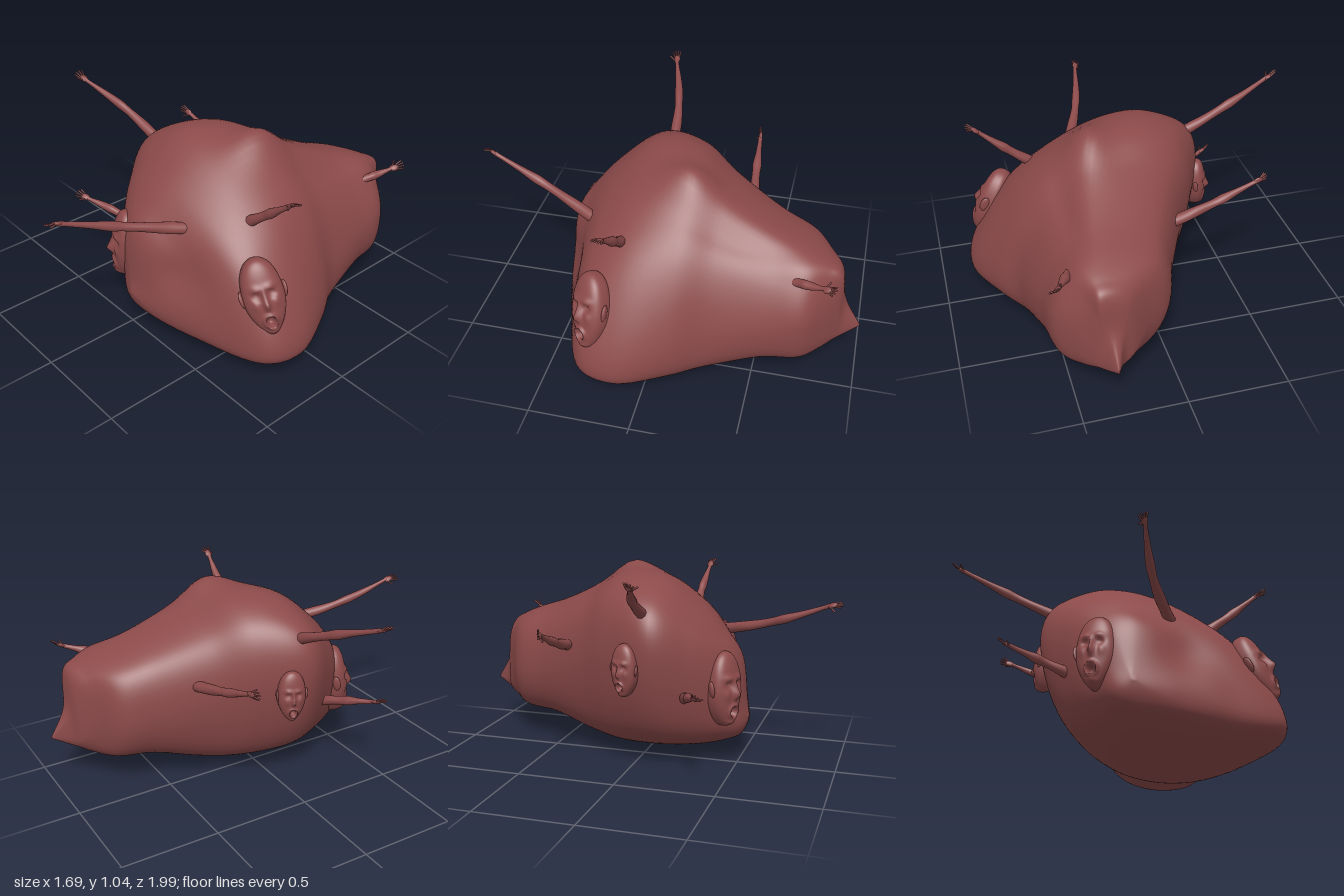
import * as THREE from 'three';
import { mergeVertices } from 'three/addons/utils/BufferGeometryUtils.js';

const flesh = new THREE.MeshStandardMaterial({ color: 0x8c4a4a });
const V = (x, y, z) => new THREE.Vector3(x, y, z);
const bump = (x, y, cx, cy, sx, sy) => Math.exp(-(((x - cx) / sx) ** 2) - ((y - cy) / sy) ** 2);

function addMesh(parent, geometry, name) {
  const mesh = new THREE.Mesh(geometry, flesh);
  mesh.name = name;
  parent.add(mesh);
  return mesh;
}

// Body sections from front to back: z, then x,y of the bottom, left, top and right extremes
const SECTIONS = [
  [0.50, 0.08, 0.13, 0.27, 0.27, 0.08, 0.55, -0.05, 0.33],
  [0.42, 0.12, 0.08, 0.53, 0.22, 0.08, 0.67, -0.15, 0.44],
  [0.30, 0.17, 0.04, 0.80, 0.21, 0.12, 0.80, -0.26, 0.52],
  [0.12, 0.20, 0.015, 0.84, 0.21, 0.15, 0.92, -0.37, 0.60],
  [-0.12, 0.22, 0.005, 0.75, 0.27, 0.22, 0.95, -0.28, 0.56],
  [-0.30, 0.25, 0.03, 0.66, 0.31, 0.28, 0.86, -0.17, 0.50],
  [-0.55, 0.27, 0.11, 0.60, 0.36, 0.34, 0.75, -0.05, 0.43],
  [-0.73, 0.30, 0.125, 0.57, 0.40, 0.38, 0.69, 0.02, 0.40],
  [-0.82, 0.31, 0.155, 0.49, 0.38, 0.38, 0.65, 0.14, 0.38],
  [-0.88, 0.32, 0.19, 0.42, 0.31, 0.38, 0.61, 0.22, 0.31],
  [-0.915, 0.33, 0.205, 0.38, 0.27, 0.34, 0.41, 0.28, 0.27],
];
// How full the corner after each extreme is: 0.71 is an ellipse, 1 a square
const FULLNESS = [0.83, 0.63, 0.8, 0.73];
const FRONT_POLE = V(0.06, 0.24, 0.54), BACK_TIP = V(0.33, 0.26, -1);

// Soft lumps and dents: centre, spread, shift
const LUMPS = [
  [V(0.27, 1, -0.13), V(0.09, 0.25, 0.16), V(0, 0.055, 0)],      // crown ridge
  [V(-0.06, 0.95, 0.08), V(0.14, 0.2, 0.18), V(0, 0.018, 0)],    // right crown lobe
  [V(0.42, 0.76, -0.4), V(0.06, 0.2, 0.28), V(0, -0.03, 0)],     // groove down the back
  [V(0.32, 0.42, 0.42), V(0.13, 0.13, 0.2), V(-0.01, 0, -0.035)], // dent in the front
  [V(0.05, 0.2, 0.5), V(0.25, 0.07, 0.12), V(0, 0, 0.012)],      // front lip
  [V(0.7, 0.3, -0.25), V(0.15, 0.2, 0.1), V(-0.015, 0, 0)],      // hollow of the flank
];

// Four extremes of a section with a corner point between each pair
function sectionPoints([z, ...xy]) {
  const points = [];
  for (let k = 0; k < 4; k++) {
    const n = (k + 1) % 4;
    const a = V(xy[2 * k], xy[2 * k + 1], z), b = V(xy[2 * n], xy[2 * n + 1], z);
    const corner = k % 2 ? V(a.x, b.y, z) : V(b.x, a.y, z);
    const inner = k % 2 ? V(b.x, a.y, z) : V(a.x, b.y, z);
    points.push(a, inner.lerp(corner, FULLNESS[k]));
  }
  return points;
}

function bodyGeometry(rows = 100, cols = 96) {
  // one lengthwise curve per section point, then a closed curve around each row
  const sections = SECTIONS.map(sectionPoints);
  const rails = sections[0].map((_, j) =>
    new THREE.CatmullRomCurve3([FRONT_POLE, ...sections.map((s) => s[j]), BACK_TIP]));
  const position = [], index = [];
  for (let i = 0; i <= rows; i++) {
    const pts = rails.map((r) => r.getPoint(i / rows));
    const ring = new THREE.CatmullRomCurve3(pts, true, 'catmullrom', 0.5);
    const pole = i === 0 ? FRONT_POLE : i === rows ? BACK_TIP : null;
    for (let j = 0; j < cols; j++) {
      const p = (pole || ring.getPoint(j / cols)).clone();
      for (const [centre, spread, shift] of LUMPS) {
        const d = p.clone().sub(centre).divide(spread);
        p.addScaledVector(shift, Math.exp(-d.lengthSq()));
      }
      position.push(p.x, p.y, p.z);
      if (i === rows) continue;
      const a = i * cols + j, b = i * cols + (j + 1) % cols;
      index.push(a, a + cols, b, b, a + cols, b + cols);
    }
  }
  let g = new THREE.BufferGeometry();
  g.setAttribute('position', new THREE.Float32BufferAttribute(position, 3));
  g.setIndex(index);
  g = mergeVertices(g, 1e-5);
  g.computeVertexNormals();
  return g;
}

// Long narrow head whose features are pushed in and out of a sphere
function faceGeometry() {
  let g = new THREE.SphereGeometry(1, 72, 64);
  g.deleteAttribute('uv');
  g.deleteAttribute('normal');
  g = mergeVertices(g, 1e-5);
  const p = g.attributes.position;
  for (let i = 0; i < p.count; i++) {
    const x = p.getX(i), y = p.getY(i), z = p.getZ(i), ax = Math.abs(x);
    let d = 0;
    if (z > 0) {
      d += 0.36 * bump(x, y, 0, -0.12, 0.13, 0.13) + 0.24 * bump(x, y, 0, 0.08, 0.09, 0.2); // nose
      d += 0.14 * bump(ax, y, 0.33, 0.32, 0.28, 0.08);   // brows
      d -= 0.26 * bump(ax, y, 0.36, 0.14, 0.18, 0.09);   // eye sockets
      d += 0.12 * bump(ax, y, 0.36, 0.12, 0.11, 0.04);   // eyelids
      d += 0.10 * bump(ax, y, 0.5, -0.1, 0.16, 0.14);    // cheekbones
      const m = Math.hypot(x / 0.32, (y + 0.58) / 0.17);
      d += 0.2 * Math.exp(-(((m - 1) / 0.28) ** 2));     // lips
      d -= 0.4 * Math.exp(-((m / 0.75) ** 4));           // open mouth
      d += 0.25 * bump(x, y, 0, -0.86, 0.3, 0.1);        // chin
    }
    const taper = y < 0 ? 1 - 0.25 * y * y : 1 + 0.12 * y * y;
    const flat = Math.sign(z) * Math.pow(Math.abs(z), 0.7);
    p.setXYZ(i, x * taper * 0.1, y * 0.19, (flat + d) * 0.075);
  }
  g.computeVertexNormals();
  return g;
}

function addFace(parent, name, at, normal, up, scale) {
  const face = new THREE.Group();
  face.name = name;
  const n = normal.clone().normalize();
  const right = up.clone().cross(n).normalize();
  const basis = new THREE.Matrix4().makeBasis(right, n.clone().cross(right), n);
  face.quaternion.setFromRotationMatrix(basis);
  face.position.copy(at);
  face.scale.setScalar(scale);
  addMesh(face, faceGeometry(), 'head');
  for (const side of [-1, 1]) {
    const ear = addMesh(face, new THREE.SphereGeometry(1, 16, 12), 'ear');
    ear.scale.set(0.012, 0.042, 0.024);
    ear.position.set(side * 0.1, 0.01, 0.008);
    ear.rotation.set(0, side * 0.5, -side * 0.12);
  }
  parent.add(face);
}

// Arm along +y from its root to the fingertips
function addArm(parent, name, from, to, roll, bend) {
  const arm = new THREE.Group();
  arm.name = name;
  const dir = to.clone().sub(from).normalize();
  const root = from.clone().addScaledVector(dir, -0.07);
  const length = root.distanceTo(to) - 0.075;
  const profile = new THREE.SplineCurve([
    [0.028, 0], [0.026, 0.15], [0.027, 0.3], [0.021, 0.46], [0.020, 0.53],
    [0.022, 0.63], [0.017, 0.8], [0.011, 0.94], [0.011, 1.02],
  ].map(([r, t]) => new THREE.Vector2(r, t * length)));
  const limb = new THREE.LatheGeometry(profile.getPoints(40), 20);
  const p = limb.attributes.position;
  for (let i = 0; i < p.count; i++) {
    const t = p.getY(i) / length;
    p.setX(i, p.getX(i) + bend * Math.sin(Math.PI * Math.min(t, 1)));
    p.setZ(i, p.getZ(i) * (1 + 0.12 * Math.sin(t * 14)));
  }
  limb.computeVertexNormals();
  addMesh(arm, limb, 'limb');

  // Hand with four spread fingers and a thumb
  const hand = new THREE.Group();
  hand.name = 'hand';
  hand.position.y = length;
  const palm = addMesh(hand, new THREE.SphereGeometry(1, 16, 12), 'palm');
  palm.scale.set(0.018, 0.026, 0.010);
  palm.position.y = 0.02;
  const addFinger = (x, y, len, angle, curl, label) => {
    const g = new THREE.CapsuleGeometry(0.0045, len, 4, 8).translate(0, len / 2, 0);
    const finger = addMesh(hand, g, label);
    finger.position.set(x, y, 0);
    finger.rotation.set(curl, 0, -angle);
  };
  [0.032, 0.038, 0.036, 0.028].forEach((len, i) =>
    addFinger((i - 1.5) * 0.009, 0.035, len, (i - 1.5) * 0.18, 0.15 + 0.08 * i, 'finger'));
  addFinger(-0.012, 0.012, 0.034, -0.7, 0.6, 'thumb');
  arm.add(hand);

  arm.position.copy(root);
  arm.quaternion.setFromUnitVectors(V(0, 1, 0), dir);
  arm.rotateY(roll);
  parent.add(arm);
}

export function createModel() {
  const model = new THREE.Group();
  model.name = 'fleshBoulder';
  addMesh(model, bodyGeometry(), 'body');

  addFace(model, 'frontFace', V(-0.095, 0.41, 0.44), V(-0.42, 0.05, 0.9), V(0.03, 1, 0), 1);
  addFace(model, 'leftFace', V(0.695, 0.435, 0.25), V(0.78, 0.3, 0.55), V(-0.42, 0.9, 0), 1);
  addFace(model, 'rightFace', V(-0.345, 0.53, 0.01), V(-0.93, 0, -0.32), V(0, 1, 0), 0.7);

  addArm(model, 'upperRightArm', V(-0.28, 0.79, 0.09), V(-0.84, 1.02, 0.19), 1.5, 0.025);
  addArm(model, 'rearRightArm', V(-0.17, 0.60, -0.375), V(-0.6, 0.735, -0.34), 0.3, -0.01);
  addArm(model, 'lowerRightArm', V(-0.25, 0.385, 0.29), V(-0.57, 0.48, 0.42), 1.4, 0.01);
  addArm(model, 'frontArm', V(0.25, 0.66, 0.42), V(0.07, 0.84, 0.99), 0.3, -0.03);
  addArm(model, 'upperLeftArm', V(0.5, 0.71, 0.16), V(0.8, 0.95, 0.165), 1.4, 0.01);
  addArm(model, 'rearLeftArm', V(0.46, 0.60, -0.65), V(0.58, 0.665, -0.87), 0.2, 0.005);
  return model;
}
